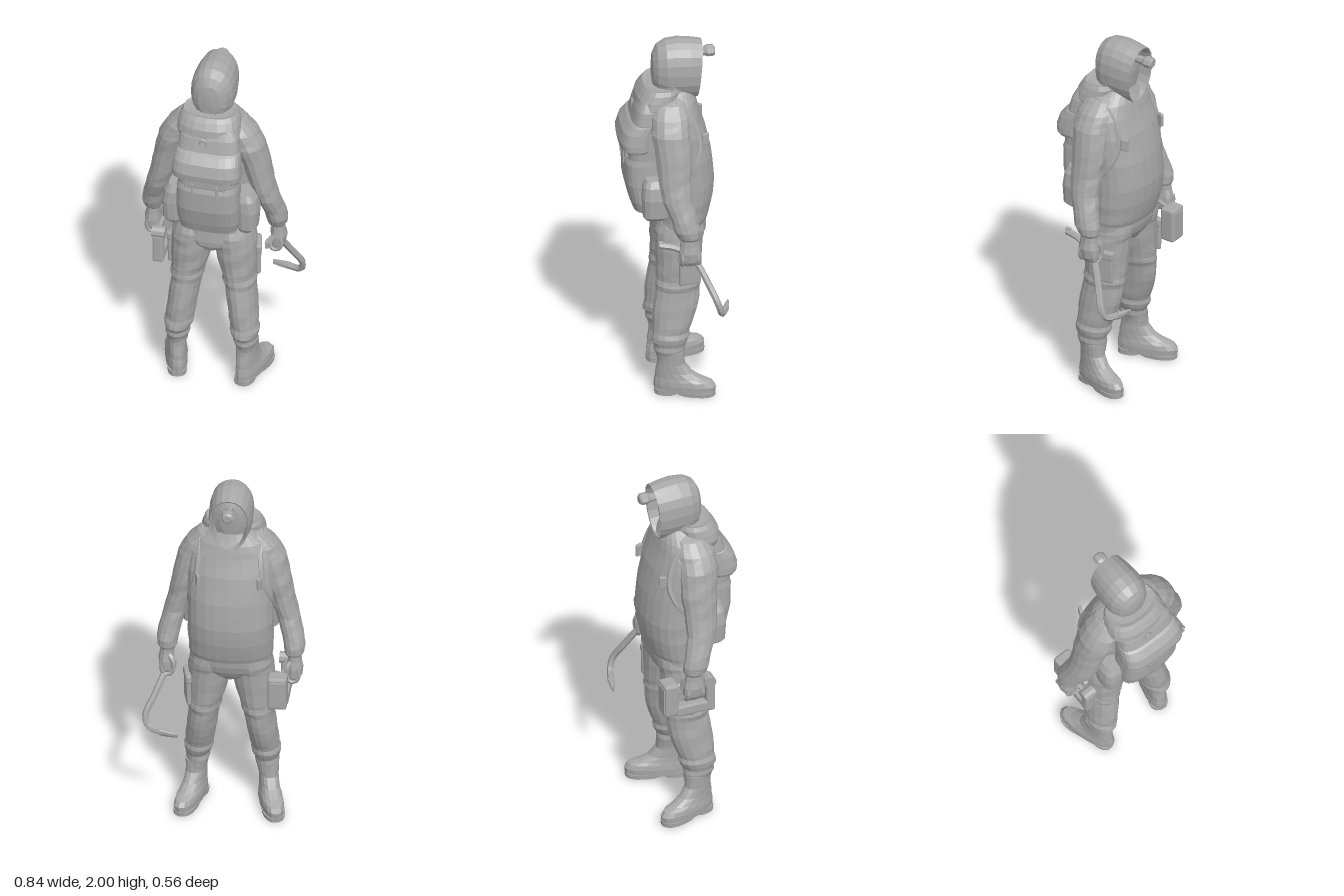
import * as THREE from 'three';
import { RoundedBoxGeometry } from 'three/addons/geometries/RoundedBoxGeometry.js';

const grey = new THREE.MeshStandardMaterial({ color: 0xa8a8a8, flatShading: true });
grey.name = 'plain grey';

// Stacks superelliptic rings [y, cx, cz, rx, rz] into a capped solid; folds adds cloth wrinkles
function loft(sections, { n = 16, pow = 2, sub = 1, folds = 0 } = {}) {
  const rings = [];
  sections.forEach((s, i) => {
    const next = sections[i + 1];
    if (!next) return rings.push(s);
    for (let k = 0; k < sub; k++) rings.push(s.map((v, c) => v + (next[c] - v) * k / sub));
  });
  const pos = [], idx = [];
  const bend = (v) => Math.sign(v) * Math.abs(v) ** (2 / pow);
  for (const [y, cx, cz, rx, rz] of rings) {
    for (let j = 0; j < n; j++) {
      const a = j / n * Math.PI * 2;
      const f = 1 + folds * (Math.sin(2 * a + 53 * y) + 0.7 * Math.sin(3 * a - 91 * y));
      pos.push(cx + rx * f * bend(Math.cos(a)), y, cz + rz * f * bend(Math.sin(a)));
    }
  }
  for (let i = 0; i < rings.length - 1; i++) {
    for (let j = 0; j < n; j++) {
      const a = i * n + j, b = i * n + (j + 1) % n;
      idx.push(a, a + n, b, b, a + n, b + n);
    }
  }
  const last = (rings.length - 1) * n;
  for (let j = 1; j < n - 1; j++) idx.push(0, j, j + 1, last, last + j + 1, last + j);
  const g = new THREE.BufferGeometry();
  g.setAttribute('position', new THREE.Float32BufferAttribute(pos, 3));
  g.setIndex(idx);
  g.computeVertexNormals();
  return g;
}

function add(parent, name, geometry, x = 0, y = 0, z = 0) {
  const m = new THREE.Mesh(geometry, grey);
  m.name = name;
  m.position.set(x, y, z);
  parent.add(m);
  return m;
}

const box = (w, h, d, r = 0.01) => new RoundedBoxGeometry(w, h, d, 1, r);
const tube = (pts, r, seg = 20, sides = 6) => new THREE.TubeGeometry(
  new THREE.CatmullRomCurve3(pts.map((p) => new THREE.Vector3(...p)), false, 'centripetal'), seg, r, sides);
const flip = (s, rows) => rows.map(([y, x, ...rest]) => [y, x * s, ...rest]);

function buildHead(body) {
  // Hood and recessed face, lofted front to back then turned onto z
  const hood = loft([
    [-0.13, 0, -1.83, 0.01, 0.01], [-0.122, 0, -1.82, 0.05, 0.09], [-0.1, 0, -1.82, 0.087, 0.14],
    [-0.168, 0, -1.82, 0.095, 0.154], [-0.172, 0, -1.82, 0.103, 0.162], [-0.11, 0, -1.825, 0.113, 0.168],
    [-0.04, 0, -1.83, 0.117, 0.17], [0.02, 0, -1.83, 0.113, 0.162], [0.065, 0, -1.83, 0.09, 0.135],
    [0.088, 0, -1.83, 0.058, 0.09], [0.096, 0, -1.83, 0.015, 0.03],
  ], { n: 20, pow: 2.25 }).rotateX(Math.PI / 2);
  const p = hood.attributes.position;
  for (let i = 0; i < p.count; i++) {
    const y = p.getY(i), z = p.getZ(i);
    p.setX(i, p.getX(i) * (1 - Math.max(0, 1.78 - y)));
    if (z < 0) p.setZ(i, z + (1.98 - y) * 0.5 * -z);
  }
  add(body, 'hood', hood);
  // Skirt of the hood around the neck
  add(body, 'hoodNeck', loft([
    [1.66, 0, -0.025, 0.115, 0.095], [1.73, 0, -0.015, 0.106, 0.095], [1.78, 0, -0.008, 0.11, 0.096],
    [1.84, 0, -0.005, 0.11, 0.092],
  ], { n: 18 }));
  // Head lamp
  add(body, 'lampStem', new THREE.CylinderGeometry(0.02, 0.026, 0.06, 8).rotateX(Math.PI / 2), 0, 1.915, -0.165);
  add(body, 'headLamp', loft([[-0.24, 0, 0, 0.022, 0.022], [-0.232, 0, 0, 0.033, 0.03],
    [-0.2, 0, 0, 0.035, 0.032], [-0.18, 0, 0, 0.024, 0.022]], { n: 8 }).rotateX(Math.PI / 2), 0, 1.917, 0);
}

function buildTorso(body) {
  add(body, 'jacket', loft([
    [0.975, 0, -0.055, 0.217, 0.138], [1.0, 0, -0.06, 0.221, 0.143], [1.1, 0, -0.07, 0.226, 0.156],
    [1.2, 0, -0.073, 0.226, 0.162], [1.35, 0, -0.06, 0.228, 0.16], [1.5, 0, -0.04, 0.233, 0.145],
    [1.6, 0, -0.025, 0.222, 0.127], [1.67, 0, -0.025, 0.175, 0.11], [1.73, 0, -0.025, 0.1, 0.085],
  ], { n: 24, pow: 2.2, sub: 2, folds: 0.005 }));
  add(body, 'pelvis', loft([
    [0.815, 0, -0.03, 0.025, 0.07], [0.84, 0, -0.032, 0.06, 0.105], [0.87, 0, -0.035, 0.15, 0.122],
    [0.9, 0, -0.042, 0.208, 0.131], [0.94, 0, -0.05, 0.216, 0.135], [1.0, 0, -0.055, 0.216, 0.136],
  ], { n: 24, pow: 2.25 }));
}

function buildArm(body, s, side) {
  add(body, side + 'Arm', loft(flip(s, [
    [0.985, 0.332, -0.068, 0.043, 0.05], [1.0, 0.333, -0.065, 0.052, 0.06], [1.04, 0.333, -0.055, 0.058, 0.07],
    [1.1, 0.322, -0.04, 0.058, 0.071], [1.2, 0.294, -0.008, 0.061, 0.08], [1.3, 0.265, 0, 0.066, 0.088],
    [1.42, 0.237, 0, 0.074, 0.098], [1.55, 0.2, 0.012, 0.083, 0.105], [1.63, 0.16, 0.01, 0.08, 0.1],
    [1.69, 0.12, 0.005, 0.06, 0.08], [1.715, 0.09, 0, 0.03, 0.05],
  ]), { n: 14, sub: 3, folds: 0.016 }));
  // Fist with curled fingers and a thumb
  add(body, side + 'Hand', loft(flip(s, [
    [0.835, 0.33, -0.072, 0.028, 0.042], [0.86, 0.334, -0.071, 0.041, 0.056], [0.91, 0.338, -0.069, 0.043, 0.058],
    [0.95, 0.336, -0.067, 0.037, 0.05], [1.0, 0.333, -0.066, 0.036, 0.045],
  ]), { n: 10 }));
  for (let i = 0; i < 4; i++) {
    const z = -0.111 + i * 0.027;
    add(body, side + 'Finger', tube([[s * 0.355, 0.915, z], [s * 0.36, 0.87, z], [s * 0.338, 0.835, z],
      [s * 0.305, 0.845, z], [s * 0.298, 0.875, z]], 0.014, 8, 6));
  }
  add(body, side + 'Thumb', tube([[s * 0.32, 0.95, -0.1], [s * 0.3, 0.92, -0.115], [s * 0.295, 0.875, -0.115]], 0.015, 6, 6));
}

function buildLeg(body, s, side) {
  // Trouser leg, bunched at the shin and knee
  add(body, side + 'Leg', loft(flip(s, [
    [0.2, 0.184, 0.012, 0.052, 0.07], [0.235, 0.183, 0.015, 0.057, 0.077], [0.26, 0.182, 0.02, 0.064, 0.085],
    [0.285, 0.181, 0.02, 0.063, 0.084], [0.31, 0.178, 0.02, 0.074, 0.097], [0.335, 0.176, 0.014, 0.08, 0.1],
    [0.36, 0.173, 0.012, 0.073, 0.097], [0.4, 0.168, 0.004, 0.077, 0.106],
    [0.5, 0.156, -0.015, 0.079, 0.12], [0.6, 0.143, -0.028, 0.081, 0.117], [0.63, 0.14, -0.03, 0.09, 0.123],
    [0.66, 0.136, -0.032, 0.089, 0.117], [0.7, 0.13, -0.033, 0.096, 0.119], [0.8, 0.12, -0.035, 0.11, 0.123],
    [0.88, 0.113, -0.037, 0.113, 0.127], [0.93, 0.108, -0.045, 0.112, 0.13], [1.0, 0.1, -0.055, 0.1, 0.12],
  ]), { n: 16, sub: 2, folds: 0.014 }));
  // Boot turned outward
  const boot = new THREE.Group();
  boot.name = side + 'Boot';
  boot.position.x = s * 0.193;
  boot.rotation.y = -s * 0.29;
  body.add(boot);
  add(boot, 'bootUpper', loft([
    [0.02, 0, -0.058, 0.058, 0.162], [0.06, 0, -0.06, 0.06, 0.165], [0.085, 0, -0.052, 0.057, 0.154],
    [0.1, 0, -0.03, 0.053, 0.128], [0.13, 0, -0.002, 0.05, 0.098], [0.18, 0, 0.013, 0.05, 0.074],
    [0.25, 0, 0.014, 0.054, 0.071],
  ], { n: 16, pow: 2.3 }));
  add(boot, 'bootSole', loft([[0.006, 0, -0.118, 0.057, 0.103], [0.03, 0, -0.118, 0.059, 0.105]], { n: 16, pow: 2.3 }));
  add(boot, 'bootHeel', loft([[0, 0, 0.04, 0.05, 0.062], [0.03, 0, 0.04, 0.052, 0.063]], { n: 12, pow: 2.4 }));
  // Thigh pocket with a flap
  const pocket = add(body, side + 'ThighPocket', box(0.026, 0.18, 0.115), s * 0.226, 0.745, -0.08);
  pocket.rotation.set(0, s * 0.25, s * -0.02);
  const flap = add(body, side + 'PocketFlap', box(0.032, 0.05, 0.12), s * 0.227, 0.815, -0.08);
  flap.rotation.copy(pocket.rotation);
}

function buildBackpack(body) {
  const pack = new THREE.Group();
  pack.name = 'backpack';
  pack.position.x = 0.015;
  body.add(pack);
  add(pack, 'packBody', loft([
    [1.04, 0, 0.125, 0.12, 0.045], [1.06, 0, 0.13, 0.15, 0.072], [1.12, 0, 0.135, 0.165, 0.088],
    [1.22, 0, 0.147, 0.168, 0.1], [1.34, 0, 0.15, 0.164, 0.1], [1.37, 0, 0.145, 0.16, 0.094],
    [1.42, 0, 0.145, 0.162, 0.094], [1.58, 0, 0.135, 0.165, 0.075],
    [1.65, 0, 0.125, 0.155, 0.065], [1.7, 0, 0.115, 0.13, 0.05],
  ], { n: 24, pow: 3.2 }));
  add(pack, 'packLid', loft([
    [1.42, 0, 0.185, 0.176, 0.07], [1.435, 0, 0.188, 0.182, 0.086], [1.47, 0, 0.19, 0.182, 0.088],
    [1.53, 0, 0.175, 0.176, 0.085], [1.57, 0, 0.15, 0.168, 0.075], [1.585, 0, 0.14, 0.15, 0.06],
  ], { n: 24, pow: 3.2 }));
  add(pack, 'frontFlap', box(0.22, 0.06, 0.02, 0.006), 0, 1.4, 0.238);
  for (const s of [-1, 1]) {
    add(pack, 'sidePocket', loft(flip(s, [
      [1.05, 0.19, 0.1, 0.035, 0.05], [1.075, 0.197, 0.095, 0.056, 0.07], [1.18, 0.2, 0.092, 0.06, 0.078],
      [1.25, 0.192, 0.09, 0.056, 0.074], [1.285, 0.185, 0.088, 0.04, 0.06],
    ]), { n: 14, pow: 2.7 }));
    add(pack, 'lidStrap', box(0.014, 0.08, 0.012, 0.004), s * 0.065, 1.36, 0.247);
  }
  add(pack, 'carryLoop', new THREE.TorusGeometry(0.018, 0.006, 5, 10).scale(1, 1.5, 1), -0.02, 1.625, 0.195);
  // Wide rolled collar behind the neck
  add(body, 'collarRoll', loft([
    [1.62, 0, 0.075, 0.16, 0.095], [1.66, 0, 0.075, 0.172, 0.112], [1.7, 0, 0.065, 0.165, 0.115],
    [1.735, 0, 0.05, 0.155, 0.108], [1.757, 0, 0.045, 0.142, 0.095], [1.75, 0, 0.04, 0.12, 0.08],
  ], { n: 20, pow: 2.5 }));
  // Shoulder straps and buckles
  for (const s of [-1, 1]) {
    add(body, 'shoulderStrap', tube([[s * 0.13, 1.66, 0.08], [s * 0.15, 1.69, 0.01], [s * 0.155, 1.66, -0.06],
      [s * 0.16, 1.58, -0.112], [s * 0.175, 1.46, -0.14], [s * 0.205, 1.36, -0.115], [s * 0.215, 1.28, -0.06]], 0.018, 28, 6));
    const buckle = add(body, 'strapBuckle', box(0.018, 0.07, 0.04, 0.006), s * 0.163, 1.48, -0.172);
    buckle.rotation.y = s * 0.4;
  }
}

function buildCrowbar(root) {
  add(root, 'crowbar', tube([[0.282, 0.945, 0.09], [0.288, 0.925, 0], [0.305, 0.86, -0.09], [0.36, 0.73, -0.165],
    [0.4, 0.635, -0.208], [0.385, 0.575, -0.228], [0.305, 0.562, -0.257]], 0.018, 32, 6));
  // Tapered claw and flat end
  const claw = loft([[-0.01, 0, 0, 0.019, 0.017], [0.04, 0, 0, 0.018, 0.013], [0.085, 0, 0, 0.014, 0.005]], { n: 8, pow: 3 });
  const dir = new THREE.Vector3(-0.075, -0.005, -0.018).normalize();
  add(root, 'crowbarClaw', claw, 0.31, 0.562, -0.256).quaternion.setFromUnitVectors(new THREE.Vector3(0, 1, 0), dir);
  add(root, 'crowbarEnd', box(0.02, 0.045, 0.03, 0.005), 0.282, 0.945, 0.08);
}

function buildMeter(root) {
  // Hand-held instrument: front case, rear battery block, base bridge and handle
  const meter = new THREE.Group();
  meter.name = 'handheldMeter';
  root.add(meter);
  add(meter, 'meterCase', box(0.1, 0.19, 0.08, 0.012), -0.288, 0.815, -0.178);
  add(meter, 'meterPlate', box(0.08, 0.15, 0.01, 0.003), -0.288, 0.815, -0.217);
  add(meter, 'meterRear', box(0.06, 0.17, 0.05, 0.012), -0.312, 0.79, 0.04);
  add(meter, 'meterRearTop', new THREE.CylinderGeometry(0.033, 0.033, 0.07, 10).rotateZ(Math.PI / 2), -0.31, 0.885, 0.035);
  add(meter, 'meterBase', box(0.06, 0.06, 0.18), -0.31, 0.74, -0.06);
  add(meter, 'meterHandle', tube([[-0.31, 0.88, 0.04], [-0.32, 0.89, -0.05], [-0.3, 0.88, -0.16]], 0.015, 8, 6));
}

export function createModel() {
  const root = new THREE.Group();
  root.name = 'hikerFigure';
  const body = new THREE.Group();
  body.name = 'body';
  body.position.x = -0.03;
  root.add(body);
  buildHead(body);
  buildTorso(body);
  for (const [s, side] of [[1, 'left'], [-1, 'right']]) {
    buildArm(body, s, side);
    buildLeg(body, s, side);
  }
  buildBackpack(body);
  buildCrowbar(root);
  buildMeter(root);
  return root;
}
